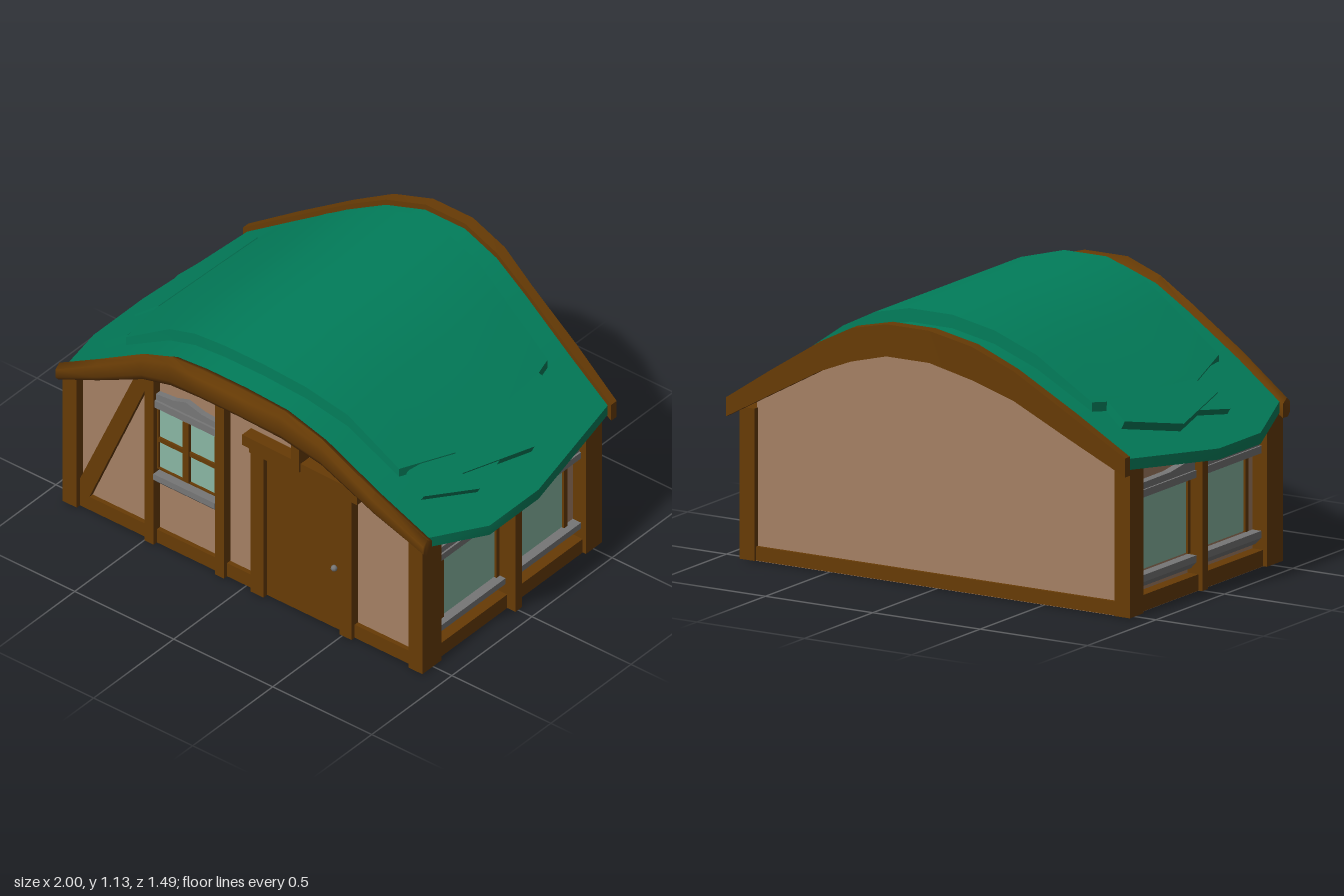
import * as THREE from 'three';
import { toCreasedNormals } from 'three/addons/utils/BufferGeometryUtils.js';

const mat = (name, color) => Object.assign(new THREE.MeshStandardMaterial({ color }), { name });

// Piecewise-linear lookup; the last segment is extended outwards
function lookup(xs, ys, x) {
  let i = 0;
  while (i < xs.length - 2 && x > xs[i + 1]) i++;
  return ys[i] + (ys[i + 1] - ys[i]) * (x - xs[i]) / (xs[i + 1] - xs[i]);
}

// Roof curve and the gable edge lines, given by distance from the ridge
const X = [0, 0.1, 0.28, 0.45, 0.7, 0.91];
const roofY = x => lookup(X, [1.075, 1.075, 1.03, 0.945, 0.79, 0.655], Math.abs(x));
const frontZ = x => lookup(X, [0.67, 0.67, 0.635, 0.605, 0.58, 0.545], Math.abs(x));
const backZ = x => lookup(X, [-0.7, -0.7, -0.675, -0.645, -0.61, -0.588], Math.abs(x));

// Skin over a row of closed cross-sections, with capped ends
function loft(sections, crease = 0.5) {
  const n = sections[0].length, pos = sections.flat(2), idx = [];
  for (let s = 0; s < sections.length - 1; s++)
    for (let i = 0; i < n; i++) {
      const a = s * n + i, b = s * n + (i + 1) % n;
      idx.push(a, b, b + n, a, b + n, a + n);
    }
  const last = (sections.length - 1) * n;
  for (let i = 0; i < Math.floor((n - 1) / 2); i++) {
    const q = [i, i + 1, n - 2 - i, n - 1 - i];
    const tris = q[1] === q[2] ? [[0, 1, 3]] : [[0, 1, 2], [0, 2, 3]];
    for (const [a, b, c] of tris) {
      idx.push(q[a], q[c], q[b]);
      idx.push(last + q[a], last + q[b], last + q[c]);
    }
  }
  // Turn all faces outwards
  let volume = 0;
  const v = i => new THREE.Vector3().fromArray(pos, i * 3);
  for (let i = 0; i < idx.length; i += 3) volume += v(idx[i]).dot(v(idx[i + 1]).cross(v(idx[i + 2])));
  if (volume < 0) idx.reverse();
  const g = new THREE.BufferGeometry();
  g.setAttribute('position', new THREE.Float32BufferAttribute(pos, 3));
  g.setIndex(idx);
  return toCreasedNormals(g, crease);
}

// Curved roof layer: rows run back to front, each with its own eave distance
function roofLayer(rows, inner, top, eaveTop, bottom, zBack, zFront) {
  return loft(rows.map(([t, eave]) => {
    const half = [...inner, eave];
    const xs = [...half.map(x => -x).reverse(), ...half];
    const at = (x, h) => [x, roofY(x) + h, THREE.MathUtils.lerp(zBack(x), zFront(x), t)];
    return [...xs.map(x => at(x, Math.abs(x) === eave ? eaveTop : top)),
      ...xs.reverse().map(x => at(x, bottom))];
  }));
}

const polygon = pts => new THREE.Shape(pts.map(p => new THREE.Vector2(...p)));
const slab = (pts, depth) => new THREE.ExtrudeGeometry(polygon(pts), { depth, bevelEnabled: false });

export function createModel() {
  const model = new THREE.Group();
  model.name = 'cottage';
  const wood = mat('wood', 0x673b05), plaster = mat('plaster', 0xa58064);
  const green = mat('roof green', 0x027e5b), glass = mat('window glass', 0x89b7a3);
  const stone = mat('grey stone', 0x767676);

  const add = (parent, name, geo, material) => {
    const m = new THREE.Mesh(geo, material);
    m.name = name;
    parent.add(m);
    return m;
  };
  const box = (parent, name, material, x0, x1, y0, y1, z0, z1) =>
    add(parent, name, new THREE.BoxGeometry(x1 - x0, y1 - y0, z1 - z0), material)
      .position.set((x0 + x1) / 2, (y0 + y1) / 2, (z0 + z1) / 2);
  const plate = (parent, name, material, pts, z0, z1) =>
    add(parent, name, slab(pts, z1 - z0), material).position.z = z0;

  // Plaster body with arched gables, and the floor
  const arch = [0.842, 0.7, 0.45, 0.28, 0.1];
  const outline = [[-0.842, 0.01], [0.842, 0.01], ...arch.map(x => [x, roofY(x) - 0.04]),
    ...arch.slice().reverse().map(x => [-x, roofY(x) - 0.04])];
  plate(model, 'walls', plaster, outline, -0.525, 0.53);
  box(model, 'floor', plaster, -0.885, 0.885, 0, 0.03, -0.53, 0.54);
  const ground = 0.004;

  // Roof sheet and the raised layer on top
  add(model, 'roof', roofLayer([[0, 0.91], [0.485, 1], [0.76, 1], [1, 0.91]],
    [0.1, 0.28, 0.45, 0.7], 0, 0, -0.045, backZ, frontZ), green);
  const ux = [0, 0.1, 0.28, 0.45, 0.7];
  add(model, 'upperRoof', roofLayer([[0, 0.69], [0.33, 0.76], [0.7, 0.76], [1, 0.69]],
    [0.1, 0.28, 0.45], 0.055, 0.038, -0.01,
    x => lookup(ux, [-0.575, -0.575, -0.55, -0.51, -0.48], Math.abs(x)),
    x => lookup(ux, [0.555, 0.555, 0.52, 0.47, 0.445], Math.abs(x))), green);

  // Loose shingles lying square to the lower slopes
  const shingles = [
    [[0.71, 0.41], [0.81, 0.44], [0.9, 0.2], [0.86, 0.02], [0.74, 0.05]],
    [[0.71, -0.4], [0.81, -0.43], [0.9, -0.14], [0.83, 0.22], [0.75, 0.17]],
  ];
  for (const side of [-1, 1])
    shingles.forEach((pts, k) => {
      const ring = (h, dx) => pts.map(([x, z]) => [side * (x - dx), roofY(x) + h, z]);
      add(model, 'shingle', loft([ring(-0.008, 0.025), ring(0.033 + k * 0.01, 0)], 0.3), green);
    });

  // Arched boards along both gables
  const bx = [0.1, 0.28, 0.45, 0.7, 0.93];
  const low = [0.97, 0.92, 0.85, 0.715, 0.59];
  const outF = [0.74, 0.69, 0.65, 0.63, 0.59], outB = [-0.745, -0.72, -0.68, -0.65, -0.615];
  const stations = [...[4, 3, 2, 1, 0].map(i => [-1, i]), ...[0, 1, 2, 3, 4].map(i => [1, i])];
  add(model, 'frontGableBoard', loft(stations.map(([s, i]) => {
    const x = s * bx[i], t = roofY(x) + 0.025, z = outF[i], d = z - frontZ(x), b = low[i];
    return [[x, t - 0.02, z - d - 0.005], [x, t, z - d * 0.5], [x, t - 0.02, z],
      [x, b + (t - b) * 0.25, z], [x, b, z - d * 0.35], [x, b, z - d - 0.005]];
  }), 1.15), wood);
  add(model, 'backGableBoard', loft(stations.map(([s, i]) => {
    const x = s * bx[i], t = roofY(x) + 0.025, z = outB[i], zi = backZ(x) + 0.005;
    return [[x, t, z], [x, t, zi], [x, low[i], zi], [x, low[i], z]];
  })), wood);

  // Corner posts
  for (const [x0, x1] of [[-0.91, -0.838], [0.838, 0.908]]) {
    box(model, 'cornerPost', wood, x0, x1, ground, 0.63, 0.452, 0.57);
    box(model, 'cornerPost', wood, x0, x1, ground, 0.62, -0.55, -0.45);
  }

  // Base beams front and back
  box(model, 'frontBeam', wood, -0.85, 0.05, ground, 0.068, 0.5, 0.55);
  box(model, 'frontBeam', wood, 0.54, 0.85, ground, 0.068, 0.5, 0.55);
  box(model, 'backBeam', wood, -0.85, 0.85, ground, 0.06, -0.54, -0.49);

  // Front timber frame
  box(model, 'frontPost', wood, -0.495, -0.45, ground, 0.875, 0.5, 0.57);
  box(model, 'frontPost', wood, -0.14, -0.095, ground, 1.0, 0.5, 0.57);
  plate(model, 'brace', wood, [[-0.84, 0.068], [-0.79, 0.068], [-0.49, 0.765], [-0.49, 0.84],
    [-0.545, 0.8], [-0.84, 0.13]], 0.52, 0.55);

  // Door with frame, lintel and knob
  box(model, 'door', wood, 0.1, 0.485, 0.005, 0.69, 0.5, 0.548);
  box(model, 'doorPost', wood, 0.04, 0.105, ground, 0.69, 0.5, 0.57);
  box(model, 'doorPost', wood, 0.49, 0.55, ground, 0.69, 0.5, 0.57);
  box(model, 'doorLintel', wood, 0.035, 0.56, 0.685, 0.73, 0.5, 0.575);
  plate(model, 'doorHeader', wood, [[0.01, 0.715], [0.59, 0.69], [0.59, 0.755], [0.01, 0.765]], 0.51, 0.585);
  box(model, 'gablePost', wood, 0.265, 0.305, 0.722, 0.98, 0.5, 0.595);
  add(model, 'doorKnob', new THREE.SphereGeometry(0.014, 8, 6), stone).position.set(0.45, 0.3, 0.555);

  // Sloped stone sill, running along x
  const sill = (parent, x0, x1, y, z) => {
    const ring = x => [[x, y + 0.056, z - 0.02], [x, y + 0.056, z + 0.042], [x, y + 0.028, z + 0.042],
      [x, y, z + 0.015], [x, y, z - 0.02]];
    add(parent, 'windowSill', loft([ring(x0), ring(x1)], 0.3), stone);
  };
  // Glass pane between two upright wooden strips
  const pane = (parent, x0, x1, y0, y1, z, w) => {
    box(parent, 'windowGlass', glass, x0, x1, y0, y1, z - 0.01, z + 0.008);
    for (const x of [x0, x1])
      box(parent, 'windowFrame', wood, x - w / 2, x + w / 2, y0 - 0.003, y1 + 0.003, z - 0.01, z + 0.018);
  };

  // Front window
  pane(model, -0.447, -0.153, 0.37, 0.66, 0.532, 0.012);
  box(model, 'windowBar', wood, -0.315, -0.285, 0.37, 0.66, 0.53, 0.555);
  for (const [y, h] of [[0.369, 0.006], [0.51, 0.02], [0.661, 0.006]])
    box(model, 'windowBar', wood, -0.447, -0.153, y - h / 2, y + h / 2, 0.52, 0.55);
  sill(model, -0.45, -0.14, 0.295, 0.53);
  box(model, 'windowLintel', stone, -0.45, -0.14, 0.672, 0.705, 0.52, 0.565);
  plate(model, 'windowLintelTop', stone, [[-0.45, 0.7], [-0.14, 0.7], [-0.14, 0.732], [-0.22, 0.738],
    [-0.3, 0.76], [-0.36, 0.74], [-0.45, 0.732]], 0.52, 0.555);

  // Side walls: local x runs along the wall, local z points outwards
  for (const s of [1, -1]) {
    const side = new THREE.Group();
    side.name = s > 0 ? 'leftSide' : 'rightSide';
    side.rotation.y = s * Math.PI / 2;
    box(side, 'sideBeam', wood, -0.46, 0.46, ground, 0.07, 0.83, 0.892);
    box(side, 'middlePost', wood, -0.021, 0.021, ground, 0.59, 0.83, s > 0 ? 0.933 : 0.91);
    for (const m of [-1, 1]) {
      const [a, b] = m < 0 ? [-0.39, -0.042] : [0.035, 0.38];
      pane(side, a, b, 0.158, 0.458, 0.845, 0.02);
      sill(side, m < 0 ? -0.452 : 0.02, m < 0 ? -0.02 : 0.452, 0.09, 0.842);
      box(side, 'sideLintel', stone, m < 0 ? -0.452 : 0.02, m < 0 ? -0.02 : 0.452, 0.46, 0.49, 0.83, 0.884);
    }
    plate(side, 'sideLintelTop', stone, [[-0.452, 0.485], [-0.02, 0.485], [-0.02, 0.54], [-0.2, 0.518],
      [-0.452, 0.517]], 0.83, 0.876);
    plate(side, 'sideLintelTop', stone, [[0.02, 0.485], [0.452, 0.485], [0.452, 0.53], [0.25, 0.505],
      [0.02, 0.538]], 0.83, 0.876);
    model.add(side);
  }
  return model;
}
